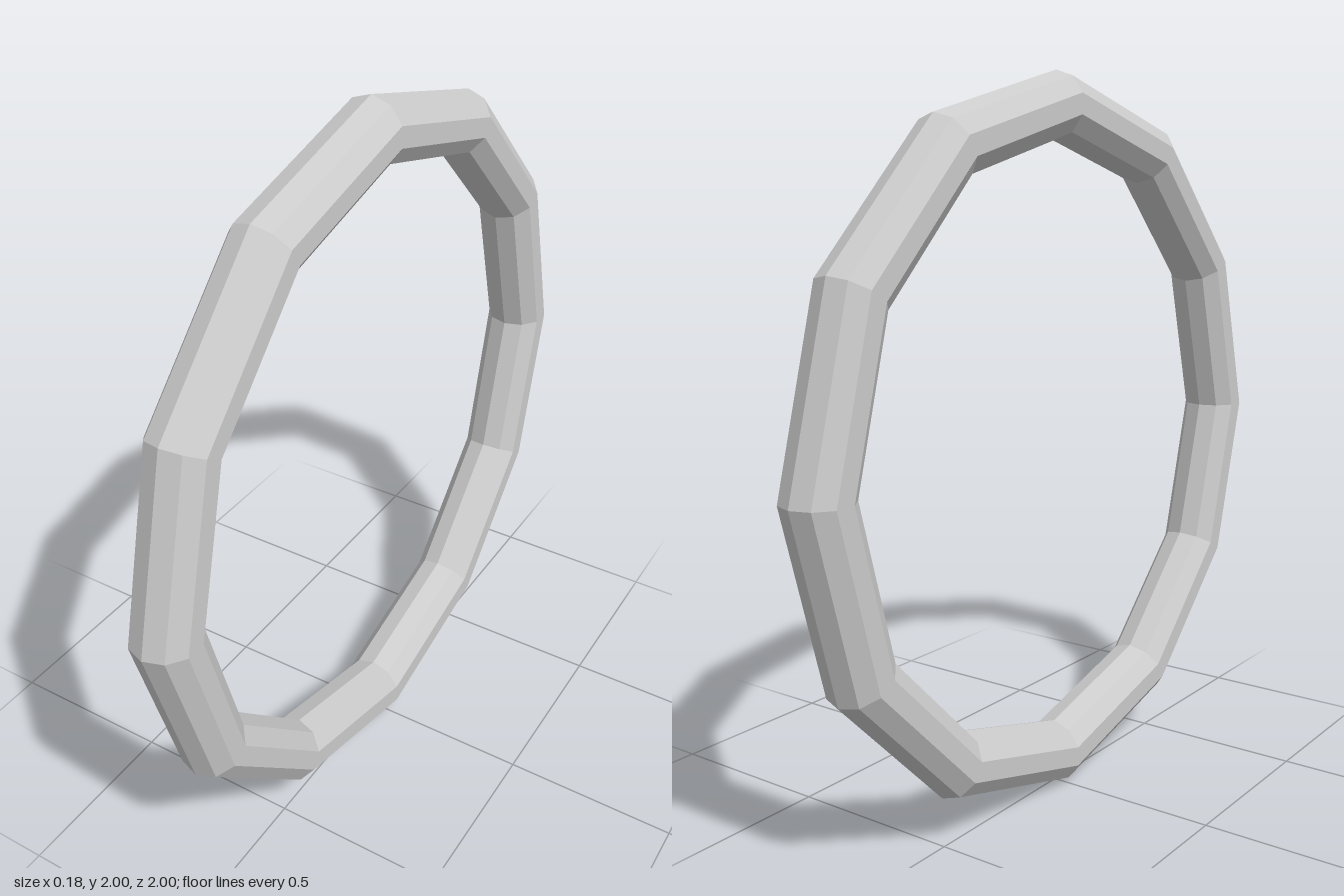
import * as THREE from 'three';

export function createModel() {
  const model = new THREE.Group();
  const tubeRadius = 0.09;

  // Faceted hoop: ten-sided tube swept around a twelve-sided ring, facing sideways
  const geometry = new THREE.TorusGeometry(1 - tubeRadius, tubeRadius, 10, 12);
  geometry.rotateY(Math.PI / 2);

  const material = new THREE.MeshStandardMaterial({ color: 0xcccccc, flatShading: true });
  const ring = new THREE.Mesh(geometry, material);
  ring.name = 'ring';
  ring.position.y = 1;
  ring.rotation.z = 0.004; // very slight lean
  model.add(ring);

  return model;
}
